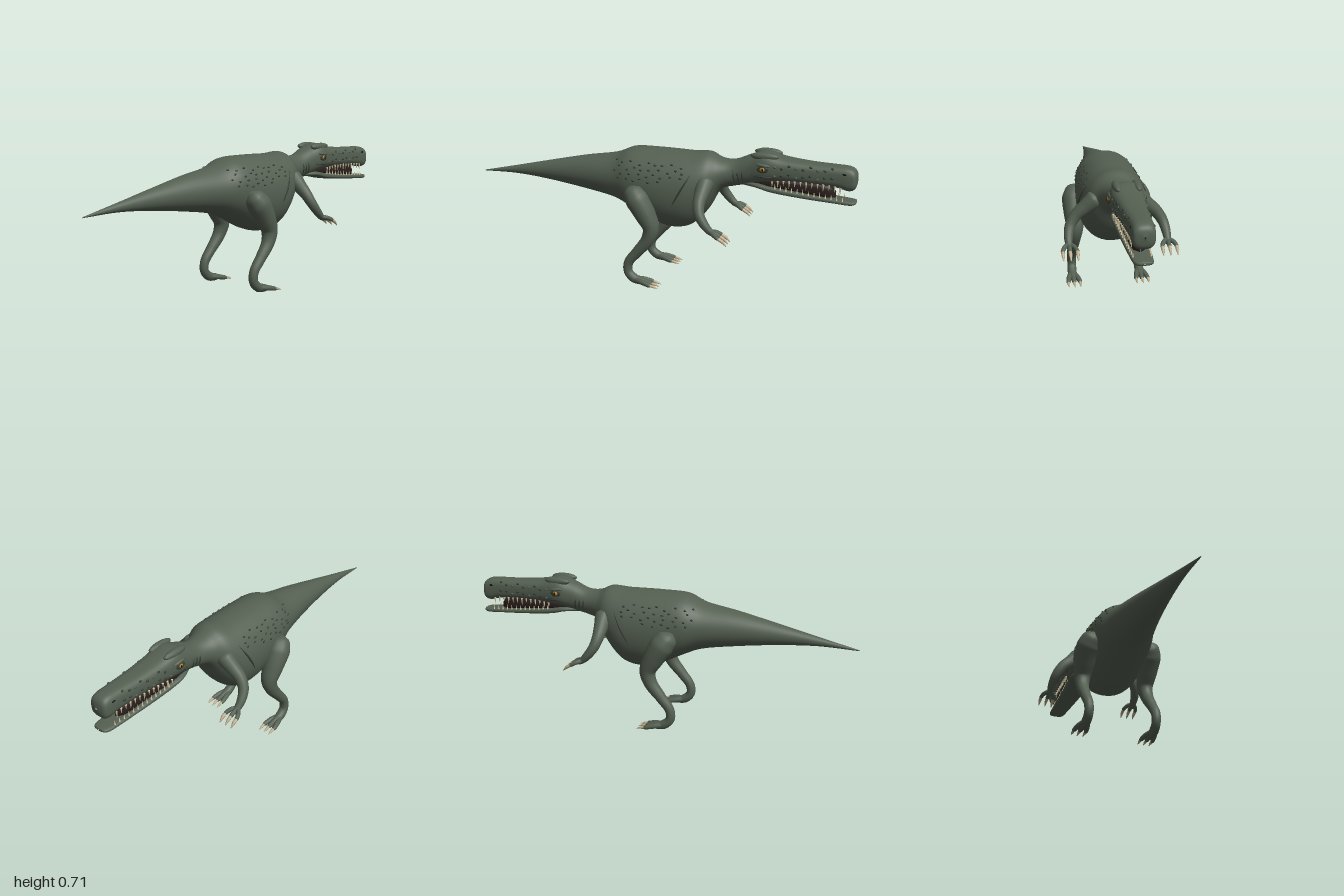
import * as THREE from 'three';
import { mergeVertices } from 'three/addons/utils/BufferGeometryUtils.js';

const paint = (name, color) => {
  const m = new THREE.MeshStandardMaterial({ color });
  m.name = name;
  return m;
};
const V = (x, y, z) => new THREE.Vector3(x, y, z);

// Smooth section stations: [x, top, bottom, half width, squareness]
function profile(rows) {
  const a = new THREE.CatmullRomCurve3(rows.map(r => V(r[0], r[1], r[2])), false, 'catmullrom');
  const b = new THREE.CatmullRomCurve3(rows.map(r => V(r[3], r[4], 0)), false, 'catmullrom');
  const at = t => {
    const p = a.getPoint(t), q = b.getPoint(t);
    return { x: p.x, cy: (p.y + p.z) / 2, h: Math.max((p.y - p.z) / 2, 0.001), w: Math.max(q.x, 0.001), n: q.y };
  };
  const atX = x => {
    let lo = 0, hi = 1;
    for (let i = 0; i < 24; i++) {
      const m = (lo + hi) / 2;
      if (a.getPoint(m).x < x) lo = m; else hi = m;
    }
    return at(lo);
  };
  // Point on the flank at a given x and y
  const flank = (x, y, s) => {
    const q = atX(x), v = Math.min(Math.abs((y - q.cy) / q.h), 0.98);
    return V(x, y, s * q.w * Math.pow(1 - Math.pow(v, q.n), 1 / q.n));
  };
  return { at, atX, flank, count: rows.length };
}

// Closed skin through superellipse sections
function loft(p, steps = (p.count - 1) * 6, n = 36) {
  const pos = [], idx = [];
  const pw = (v, e) => Math.sign(v) * Math.pow(Math.abs(v), e);
  for (let i = 0; i <= steps; i++) {
    const q = p.at(i / steps);
    for (let j = 0; j < n; j++) {
      const t = j / n * Math.PI * 2;
      pos.push(q.x, q.cy + q.h * pw(Math.sin(t), 2 / q.n), q.w * pw(Math.cos(t), 2 / q.n));
      if (i < steps) {
        const a = i * n + j, c = i * n + (j + 1) % n;
        idx.push(a, a + n, c, a + n, c + n, c);
      }
    }
  }
  const g = new THREE.BufferGeometry();
  g.setAttribute('position', new THREE.Float32BufferAttribute(pos, 3));
  g.setIndex(idx);
  g.computeVertexNormals();
  return g;
}

// Tapering tube through [x, y, z, radius] points, z mirrored by side
function limb(pts, side = 1, sides = 16) {
  const curve = new THREE.CatmullRomCurve3(pts.map(p => V(p[0], p[1], p[2] * side)));
  const steps = (pts.length - 1) * 6;
  const g = new THREE.TubeGeometry(curve, steps, 1, sides);
  const P = g.attributes.position, v = V(0, 0, 0);
  for (let i = 0; i <= steps; i++) {
    const c = curve.getPointAt(i / steps);
    const f = curve.getUtoTmapping(i / steps) * (pts.length - 1);
    const k = Math.min(Math.floor(f), pts.length - 2);
    const r = THREE.MathUtils.lerp(pts[k][3], pts[k + 1][3], f - k);
    for (let j = 0; j <= sides; j++) {
      const o = i * (sides + 1) + j;
      v.fromBufferAttribute(P, o).sub(c).multiplyScalar(r).add(c);
      P.setXYZ(o, v.x, v.y, v.z);
    }
  }
  g.deleteAttribute('normal');
  g.deleteAttribute('uv');
  const out = mergeVertices(g, 1e-5);
  out.computeVertexNormals();
  return out;
}

export function createModel() {
  const root = new THREE.Group();
  const skin = paint('greenSkin', 0x545f51);
  const dark = paint('darkScale', 0x343d34);
  const claw = paint('clawTan', 0xbfae8e);
  const tooth = paint('toothIvory', 0xd8c9a6);
  const amber = paint('amberEye', 0xb87a1e);
  const black = paint('pupilBlack', 0x121210);
  const mouth = paint('mouthDark', 0x2b211e);
  const add = (name, geo, mat, parent = root) => {
    const m = new THREE.Mesh(geo, mat);
    m.name = name;
    parent.add(m);
    return m;
  };
  const ball = new THREE.SphereGeometry(1, 14, 10);
  const blob = (name, mat, p, sx, sy, sz) => {
    const m = add(name, ball, mat);
    m.position.copy(p);
    m.scale.set(sx, sy, sz);
    return m;
  };

  // Tail, trunk, neck and upper head in one skin
  const body = profile([
    [-1, 0.475, 0.471, 0.002, 2], [-0.8, 0.52, 0.475, 0.022, 2], [-0.6, 0.566, 0.46, 0.05, 2],
    [-0.4, 0.61, 0.434, 0.085, 2], [-0.23, 0.64, 0.405, 0.122, 2], [-0.13, 0.678, 0.365, 0.152, 2.1],
    [0, 0.683, 0.302, 0.167, 2.1], [0.1, 0.682, 0.281, 0.17, 2.1], [0.19, 0.68, 0.305, 0.163, 2.1],
    [0.27, 0.685, 0.39, 0.135, 2], [0.33, 0.66, 0.495, 0.088, 2], [0.4, 0.658, 0.523, 0.065, 2],
    [0.48, 0.69, 0.54, 0.068, 2.2], [0.555, 0.713, 0.56, 0.08, 2.5], [0.65, 0.69, 0.572, 0.071, 2.8],
    [0.78, 0.676, 0.572, 0.06, 3], [0.9, 0.672, 0.565, 0.053, 3], [0.96, 0.668, 0.552, 0.051, 3],
    [0.99, 0.65, 0.565, 0.042, 2.8], [1, 0.615, 0.605, 0.004, 2.4]]);
  add('body', loft(body), skin);

  // Lower jaw and mouth lining
  const jaw = profile([
    [0.44, 0.56, 0.535, 0.03, 2.2], [0.52, 0.562, 0.532, 0.066, 2.6], [0.6, 0.548, 0.514, 0.065, 3],
    [0.75, 0.528, 0.498, 0.057, 3], [0.9, 0.512, 0.488, 0.049, 3], [0.97, 0.507, 0.483, 0.043, 3],
    [0.995, 0.505, 0.488, 0.03, 2.6], [1, 0.499, 0.495, 0.004, 2.2]]);
  add('lowerJaw', loft(jaw), skin);
  add('mouthLining', loft(profile([
    [0.48, 0.575, 0.545, 0.045, 3], [0.6, 0.59, 0.535, 0.052, 3], [0.75, 0.585, 0.518, 0.042, 3],
    [0.86, 0.575, 0.505, 0.034, 3], [0.9, 0.54, 0.505, 0.003, 3]])), mouth);

  const cone = new THREE.ConeGeometry(1, 1, 8);
  const legPath = [
    [-0.1, 0.515, 0.14, 0.004], [-0.085, 0.49, 0.155, 0.05], [-0.055, 0.45, 0.168, 0.062],
    [-0.01, 0.375, 0.172, 0.053], [0.018, 0.31, 0.173, 0.042], [0.003, 0.25, 0.177, 0.034],
    [-0.055, 0.175, 0.179, 0.027], [-0.1, 0.115, 0.179, 0.024], [-0.103, 0.065, 0.179, 0.023],
    [-0.07, 0.032, 0.18, 0.024], [-0.02, 0.02, 0.18, 0.018], [0.01, 0.014, 0.18, 0.002]];
  const armPath = [
    [0.27, 0.58, 0.07, 0.01], [0.275, 0.55, 0.105, 0.046], [0.273, 0.512, 0.15, 0.037],
    [0.272, 0.47, 0.198, 0.03], [0.284, 0.425, 0.227, 0.026], [0.315, 0.38, 0.239, 0.022],
    [0.345, 0.35, 0.24, 0.017], [0.368, 0.338, 0.24, 0.012], [0.378, 0.335, 0.24, 0.001]];
  const scale = new THREE.SphereGeometry(1, 8, 6);

  for (const s of [1, -1]) {
    const side = s > 0 ? 'right' : 'left';
    // Hind leg with three clawed toes
    add(side + 'Leg', limb(legPath, s), skin);
    for (const k of [-1, 0, 1]) {
      const z = 0.18 + k * 0.031;
      add(side + 'Toe', limb([[-0.065, 0.03, 0.18 + k * 0.008, 0.014], [-0.02, 0.024, 0.18 + k * 0.022, 0.014],
        [0.02, 0.015, z, 0.011], [0.034, 0.012, z, 0.002]], s, 10), skin);
      add(side + 'ToeClaw', limb([[0.02, 0.015, z, 0.008], [0.042, 0.011, z, 0.007],
        [0.066, 0.004, z, 0.001]], s, 8), claw);
    }
    // Arm with three clawed fingers
    add(side + 'Arm', limb(armPath, s), skin);
    for (const k of [-1, 0, 1]) {
      const z = 0.24 + k * 0.035;
      add(side + 'Finger', limb([[0.345, 0.35, 0.24 + k * 0.006, 0.012], [0.368, 0.344, 0.24 + k * 0.025, 0.011],
        [0.392, 0.332, z, 0.01], [0.402, 0.326, z, 0.002]], s, 10), skin);
      add(side + 'FingerClaw', limb([[0.388, 0.334, z, 0.009], [0.412, 0.32, z, 0.0085],
        [0.434, 0.299, z, 0.002]], s, 8), claw);
    }

    // Eye, pupil, socket and brow
    const e = body.flank(0.553, 0.637, s);
    blob(side + 'EyeSocket', dark, e, 0.028, 0.017, 0.005);
    blob(side + 'Eye', amber, e, 0.014, 0.012, 0.01);
    blob(side + 'Pupil', black, e.clone().add(V(0.002, 0, s * 0.008)), 0.004, 0.008, 0.004);
    blob(side + 'Brow', skin, V(0.555, 0.656, s * 0.074), 0.036, 0.009, 0.011).rotation.z = -0.1;
    blob(side + 'CrownRidge', skin, V(0.555, 0.695, s * 0.047), 0.07, 0.02, 0.02);
    blob(side + 'Nostril', black, body.flank(0.94, 0.64, s), 0.01, 0.005, 0.003);

    // Teeth along both jaws
    for (let i = 0; i < 13; i++) {
      const x = 0.6 + i * 0.027, u = body.atX(x), l = jaw.atX(x + 0.012);
      const len = 0.032 + 0.008 * Math.sin(i * 2.3);
      const up = add(side + 'UpperTooth', cone, tooth);
      up.position.set(x, u.cy - u.h + 0.012 - len / 2, s * (u.w - 0.009));
      up.scale.set(0.0055, len, 0.0055);
      up.rotation.x = Math.PI;
      const low = add(side + 'LowerTooth', cone, tooth);
      low.position.set(x + 0.012, l.cy + l.h + 0.007, s * (l.w - 0.008));
      low.scale.set(0.0045, 0.028, 0.0045);
    }

    // Raised scales on flank and muzzle
    for (let row = 0; row < 4; row++) for (let i = 0; i < 9; i++) {
      const x = -0.19 + i * 0.043 + (row % 2) * 0.02 + 0.008 * Math.sin(i * 5 + row * 3);
      const y = 0.625 - row * 0.026 + 0.007 * Math.sin(i * 3.7 + row);
      if (row === 3 && i > 5) continue;
      blob(side + 'FlankScale', dark, body.flank(x, y, s), 0.008, 0.005, 0.004).geometry = scale;
    }
    for (let i = 0; i < 18; i++) {
      const x = 0.61 + (i % 9) * 0.034, y = (i < 9 ? 0.652 : 0.612) + 0.008 * Math.sin(i * 4.1);
      blob(side + 'MuzzleScale', i % 3 ? dark : skin, body.flank(x, y, s), 0.008, 0.006, 0.004).geometry = scale;
    }

    // Skin folds on shoulder and neck
    const fold = (name, x0, y0, x1, y1, r) => {
      const pts = [0, 0.25, 0.5, 0.75, 1].map(t => {
        const p = body.flank(x0 + (x1 - x0) * t, y0 + (y1 - y0) * t, s);
        return [p.x, p.y, p.z * s, r * Math.sin(Math.PI * t) + 0.0005];
      });
      add(side + name, limb(pts, s, 6), dark);
    };
    fold('ShoulderFold', 0.12, 0.43, 0.21, 0.595, 0.005);
    for (let i = 0; i < 3; i++) fold('NeckFold', 0.41 + i * 0.022, 0.558, 0.403 + i * 0.022, 0.615, 0.004);
    fold('CheekFold', 0.5, 0.6, 0.6, 0.598, 0.004);
  }
  return root;
}
